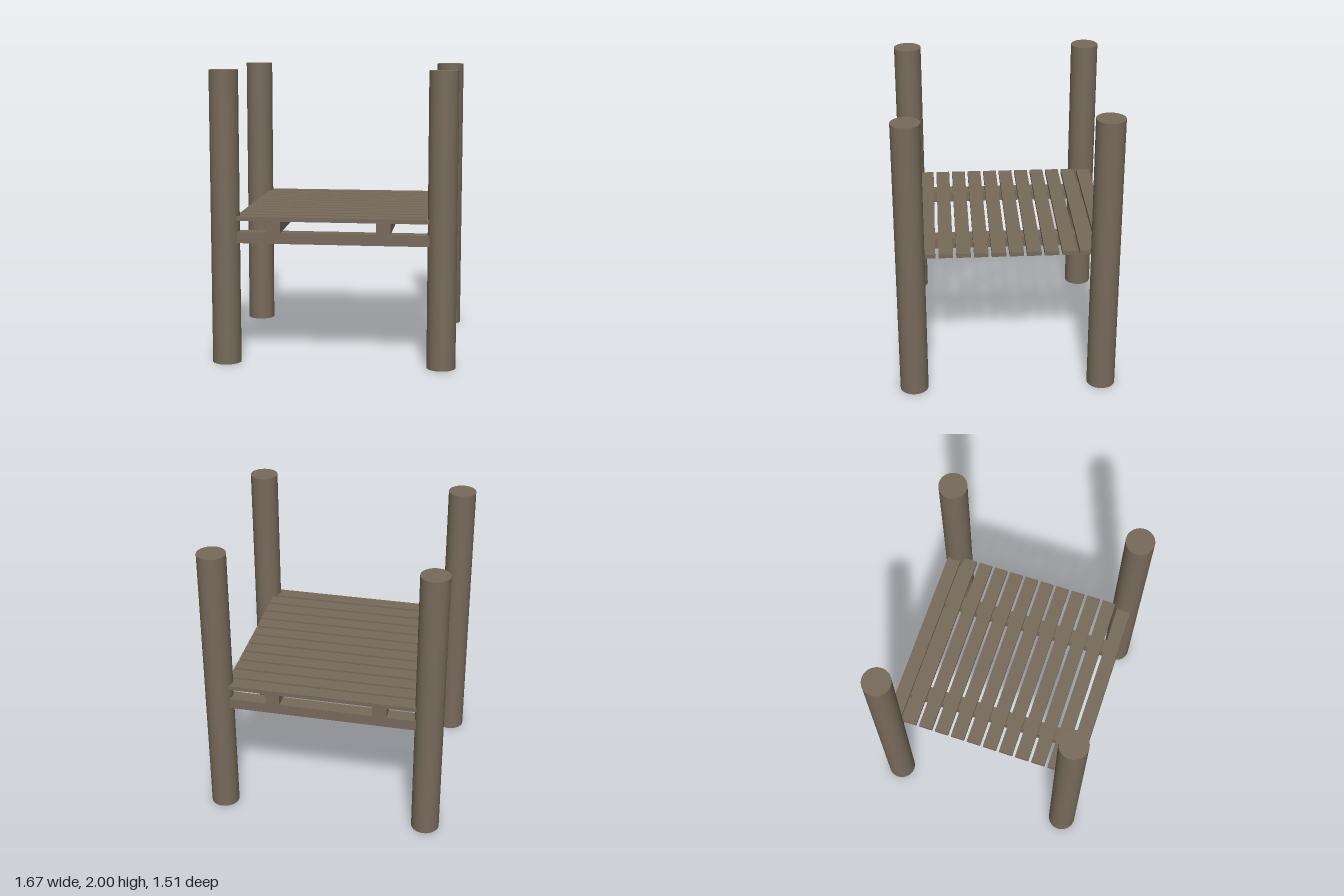
import * as THREE from 'three';

export function createModel() {
  const model = new THREE.Group();
  model.name = 'plankPlatform';
  const wood = new THREE.MeshStandardMaterial({ color: 0x776a5a });
  wood.name = 'weathered wood';

  const add = (name, geometry, x, y, z) => {
    const mesh = new THREE.Mesh(geometry, wood);
    mesh.name = name;
    mesh.position.set(x, y, z);
    model.add(mesh);
  };

  // Four round corner posts
  const postX = 0.735, postZ = 0.657, radius = 0.098;
  const post = new THREE.CylinderGeometry(radius, radius, 2, 40);
  for (const sx of [-1, 1]) {
    for (const sz of [-1, 1]) add('cornerPost', post, sx * postX, 1, sz * postZ);
  }

  // Cross beams between the posts, front and back
  const beam = new THREE.BoxGeometry(1.34, 0.075, 0.097);
  for (const sz of [-1, 1]) add('crossBeam', beam, 0.01, 0.873, sz * 0.658);

  // Two joists resting on the beams
  const joist = new THREE.BoxGeometry(0.098, 0.076, 1.418);
  for (const x of [-0.4, 0.343]) add('joist', joist, x, 0.949, 0);

  // Twelve evenly spaced deck planks
  const count = 12, firstZ = -0.661, lastZ = 0.656;
  const plank = new THREE.BoxGeometry(1.335, 0.029, 0.098);
  for (let i = 0; i < count; i++) {
    const z = firstZ + ((lastZ - firstZ) * i) / (count - 1);
    add('deckPlank', plank, 0.009, 1.0015, z);
  }

  return model;
}
